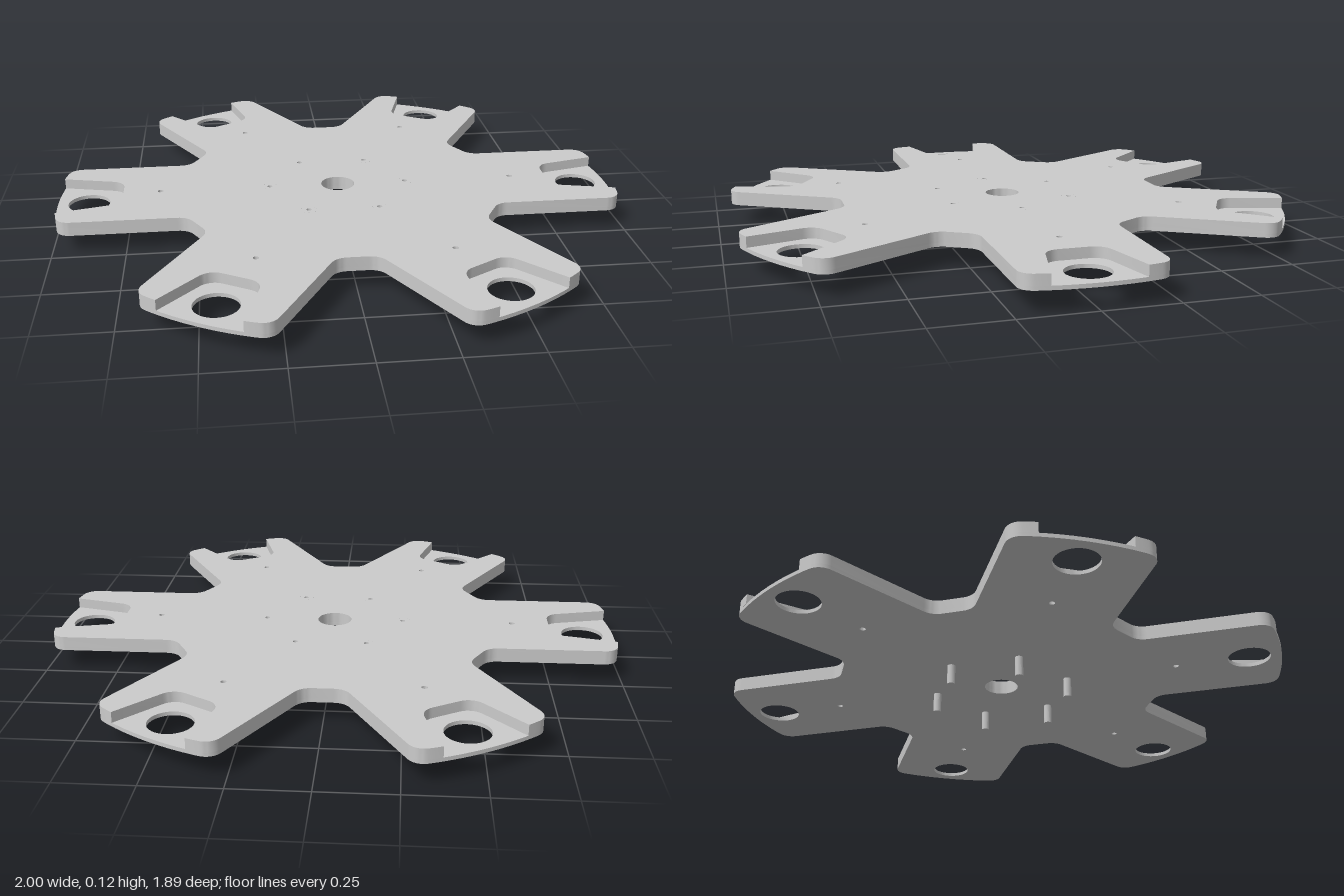
import * as THREE from 'three';
import { toCreasedNormals } from 'three/addons/utils/BufferGeometryUtils.js';

const ARMS = 6, HALF = 0.23;
const BOTTOM = 0.071, FLOOR = 0.084, TOP = 0.12;
const material = new THREE.MeshStandardMaterial({ color: 0xcccccc });

const turn = (x, y, i) =>
  new THREE.Vector2(x, y).rotateAround(new THREE.Vector2(), (i * 2 * Math.PI) / ARMS);

// Polygon whose corners [point, radius] are replaced by tangent arcs
function filletedShape(corners) {
  const pts = [];
  const n = corners.length;
  corners.forEach(([p, r], i) => {
    if (!r) { pts.push(p); return; }
    const a = corners[(i + n - 1) % n][0].clone().sub(p).normalize();
    const b = corners[(i + 1) % n][0].clone().sub(p).normalize();
    const half = Math.acos(a.dot(b)) / 2;
    const centre = a.clone().add(b).normalize().multiplyScalar(r / Math.sin(half)).add(p);
    const start = a.multiplyScalar(r / Math.tan(half)).add(p).sub(centre);
    const end = b.multiplyScalar(r / Math.tan(half)).add(p).sub(centre);
    const sweep = Math.atan2(start.cross(end), start.dot(end));
    for (let k = 0; k <= 8; k++) {
      pts.push(start.clone().rotateAround(new THREE.Vector2(), (sweep * k) / 8).add(centre));
    }
  });
  return new THREE.Shape(pts);
}

// Six-armed outline, optionally with a pocket open at each arm's end
function starShape(withPockets) {
  const tip = Math.asin(HALF);
  const onRim = (a) => [Math.cos(a), Math.sin(a), 0];
  const half = [[0.537, HALF, 0.06], [Math.cos(tip), HALF, 0.05], onRim(0.17)];
  if (withPockets) half.push(onRim(0.146), [0.768, 0.093, 0.055]);
  else half.push(onRim(0.13), onRim(0.09), onRim(0.045));
  const lower = half.map(([x, y, r]) => [x, -y, r]);
  const arm = [...lower, ...(withPockets ? [] : [onRim(0)]), ...half.reverse()];
  const corners = [];
  for (let i = 0; i < ARMS; i++) {
    arm.forEach(([x, y, r]) => corners.push([turn(x, y, i), r]));
  }
  return filletedShape(corners);
}

function addHole(shape, centre, r) {
  shape.holes.push(new THREE.Path().absarc(centre.x, centre.y, r, 0, Math.PI * 2, true));
}

function plate(name, shape, y0, y1) {
  let geo = new THREE.ExtrudeGeometry(shape, { depth: y1 - y0, bevelEnabled: false, curveSegments: 24 });
  geo = toCreasedNormals(geo.rotateX(-Math.PI / 2).translate(0, y0, 0), 0.5);
  const mesh = new THREE.Mesh(geo, material);
  mesh.name = name;
  return mesh;
}

export function createModel() {
  const group = new THREE.Group();
  group.name = 'sixArmPlate';

  // Thin floor layer and thicker pocketed layer
  const floor = starShape(false);
  const body = starShape(true);
  for (const shape of [floor, body]) {
    addHole(shape, new THREE.Vector2(), 0.06);
    for (let i = 0; i < ARMS; i++) addHole(shape, turn(0.637, 0, i), 0.01);
  }
  for (let i = 0; i < ARMS; i++) {
    addHole(floor, turn(0.89, 0, i), 0.073);
    addHole(body, turn(0.246, 0, i), 0.026);
  }
  group.add(plate('pocketFloor', floor, BOTTOM, FLOOR));
  group.add(plate('plateBody', body, FLOOR, TOP));

  // Pins with flush heads and a small socket on top
  const profile = [
    [0, 0], [0.014, 0], [0.014, FLOOR], [0.026, FLOOR], [0.026, TOP],
    [0.009, TOP], [0.009, TOP - 0.02], [0, TOP - 0.02],
  ].map(([x, y]) => new THREE.Vector2(x, y));
  const pinGeo = toCreasedNormals(new THREE.LatheGeometry(profile, 24), 0.5);
  for (let i = 0; i < ARMS; i++) {
    const p = turn(0.246, 0, i);
    const pin = new THREE.Mesh(pinGeo, material);
    pin.name = 'pin' + (i + 1);
    pin.position.set(p.x, 0, p.y);
    group.add(pin);
  }
  return group;
}
